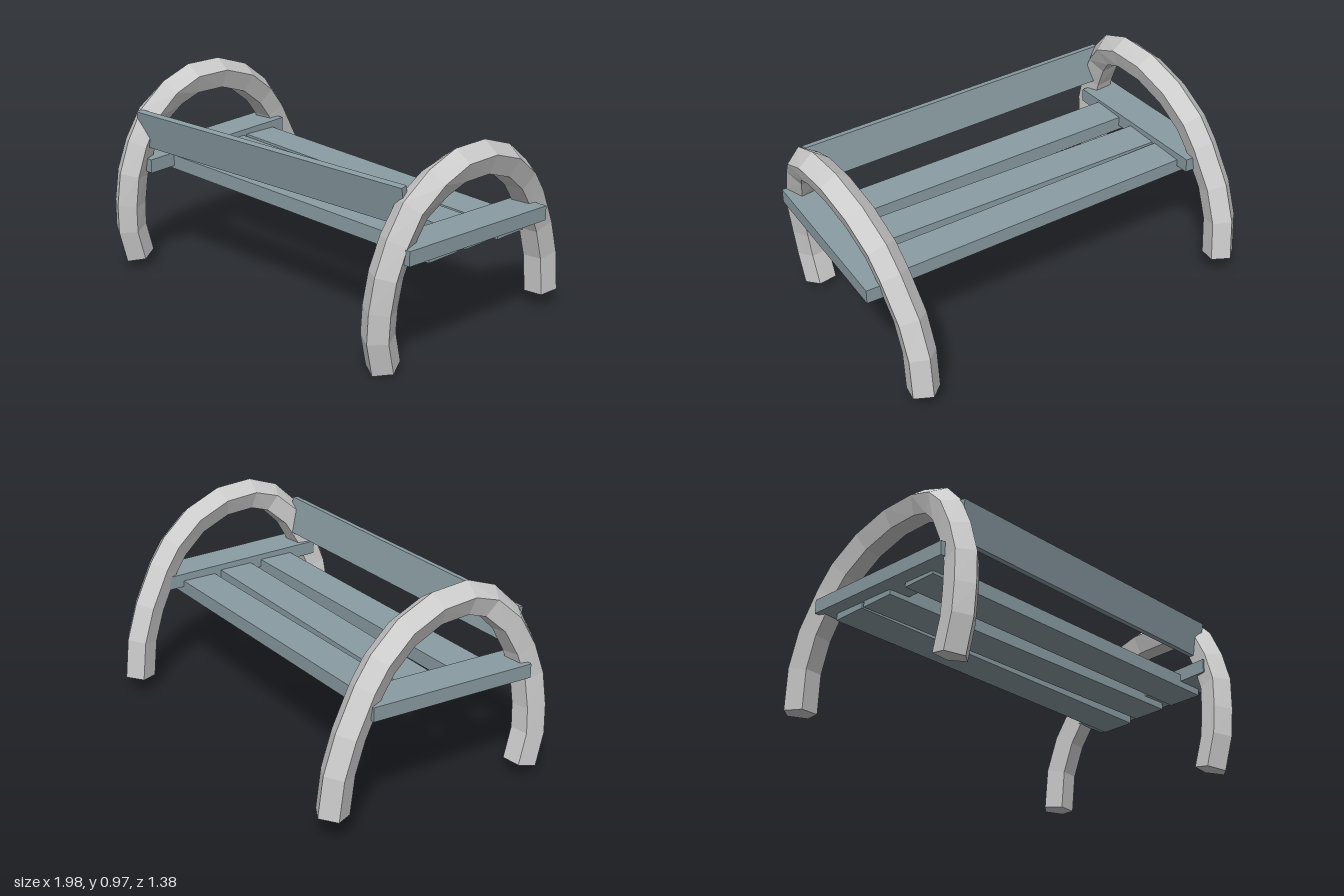
import * as THREE from 'three';

const grey = new THREE.MeshStandardMaterial({ color: 0xcccccc, flatShading: true });
const slate = new THREE.MeshStandardMaterial({ color: 0x8a9ca3, flatShading: true });

// Centre line of one arch, from the front foot over the top to the back foot
const ARCH = [
  [0.722, 0.008, 0.57], [0.725, 0.16, 0.61], [0.737, 0.29, 0.615], [0.758, 0.44, 0.605],
  [0.778, 0.58, 0.56], [0.805, 0.71, 0.495], [0.85, 0.81, 0.40], [0.872, 0.855, 0.28],
  [0.885, 0.85, 0.11], [0.888, 0.79, -0.06], [0.882, 0.69, -0.195], [0.878, 0.595, -0.27],
  [0.868, 0.42, -0.37], [0.866, 0.26, -0.425], [0.868, 0.07, -0.445],
].map((p) => new THREE.Vector3(...p));

// Five-sided pipe with one ridge pointing outward along the arch
function archGeometry(path, radius, sides = 5) {
  const pos = [], index = [], last = path.length - 1;
  path.forEach((p, i) => {
    const before = path[Math.max(i - 1, 0)], after = path[Math.min(i + 1, last)];
    const t = after.clone().sub(before).normalize();
    const side = new THREE.Vector3(1, 0, 0).addScaledVector(t, -t.x).normalize();
    const out = side.clone().cross(t);
    for (let k = 0; k < sides; k++) {
      const a = (k / sides) * Math.PI * 2;
      const v = p.clone()
        .addScaledVector(out, radius * (Math.cos(a) - 0.09))
        .addScaledVector(side, radius * Math.sin(a));
      pos.push(v.x, v.y, v.z);
    }
  });
  for (let i = 0; i < last; i++) {
    for (let k = 0; k < sides; k++) {
      const a = i * sides + k, b = i * sides + ((k + 1) % sides);
      index.push(a, b, b + sides, a, b + sides, a + sides);
    }
  }
  // feet
  const e = last * sides;
  for (let k = 1; k < sides - 1; k++) index.push(0, k + 1, k, e, e + k, e + k + 1);
  const g = new THREE.BufferGeometry();
  g.setAttribute('position', new THREE.Float32BufferAttribute(pos, 3));
  g.setIndex(index);
  g.computeVertexNormals();
  return g;
}

// Board running from a to b, with its full height and width given as vectors
function plank(name, a, b, height, width) {
  const A = new THREE.Vector3(...a), B = new THREE.Vector3(...b);
  const H = new THREE.Vector3(...height), W = new THREE.Vector3(...width);
  const g = new THREE.BoxGeometry(1, 1, 1);
  const p = g.attributes.position;
  for (let i = 0; i < p.count; i++) {
    const v = A.clone().lerp(B, p.getX(i) + 0.5)
      .addScaledVector(H, p.getY(i)).addScaledVector(W, p.getZ(i));
    p.setXYZ(i, v.x, v.y, v.z);
  }
  g.computeVertexNormals();
  const mesh = new THREE.Mesh(g, slate);
  mesh.name = name;
  return mesh;
}

export function createModel() {
  const bench = new THREE.Group();
  bench.name = 'bench';

  // Arched legs; the right one is shifted and slightly tilted
  const arch = archGeometry(ARCH, 0.077);
  const leftArch = new THREE.Mesh(arch, grey);
  leftArch.name = 'leftArchLeg';
  const rightArch = new THREE.Mesh(arch, grey);
  rightArch.name = 'rightArchLeg';
  rightArch.position.set(-1.635, 0.005, -0.18);
  rightArch.rotation.z = 0.039;
  bench.add(leftArch, rightArch);

  // Side rails, front to back
  const railH = [0, 0.066, 0], railW = [0.17, 0, 0.025];
  bench.add(plank('leftSideRail', [0.783, 0.535, 0.577], [0.91, 0.52, -0.253], railH, railW));
  bench.add(plank('rightSideRail', [-0.879, 0.517, 0.373], [-0.772, 0.553, -0.457], railH, railW));

  // Seat slats, right to left, each slightly askew
  const slats = [
    [[-0.81, 0.517, -0.304], [0.915, 0.482, -0.083]],
    [[-0.835, 0.513, -0.116], [0.89, 0.495, 0.125]],
    [[-0.865, 0.51, 0.153], [0.865, 0.50, 0.352]],
  ];
  slats.forEach(([a, b], i) =>
    bench.add(plank(`seatSlat${i + 1}`, a, b, [0, 0.068, 0], [-0.02, 0, 0.172])));

  // Leaning backrest board
  bench.add(plank('backrest', [-0.865, 0.693, 0.367], [0.78, 0.712, 0.497],
    [0, 0.175, 0.032], [0, -0.005, 0.032]));

  return bench;
}
